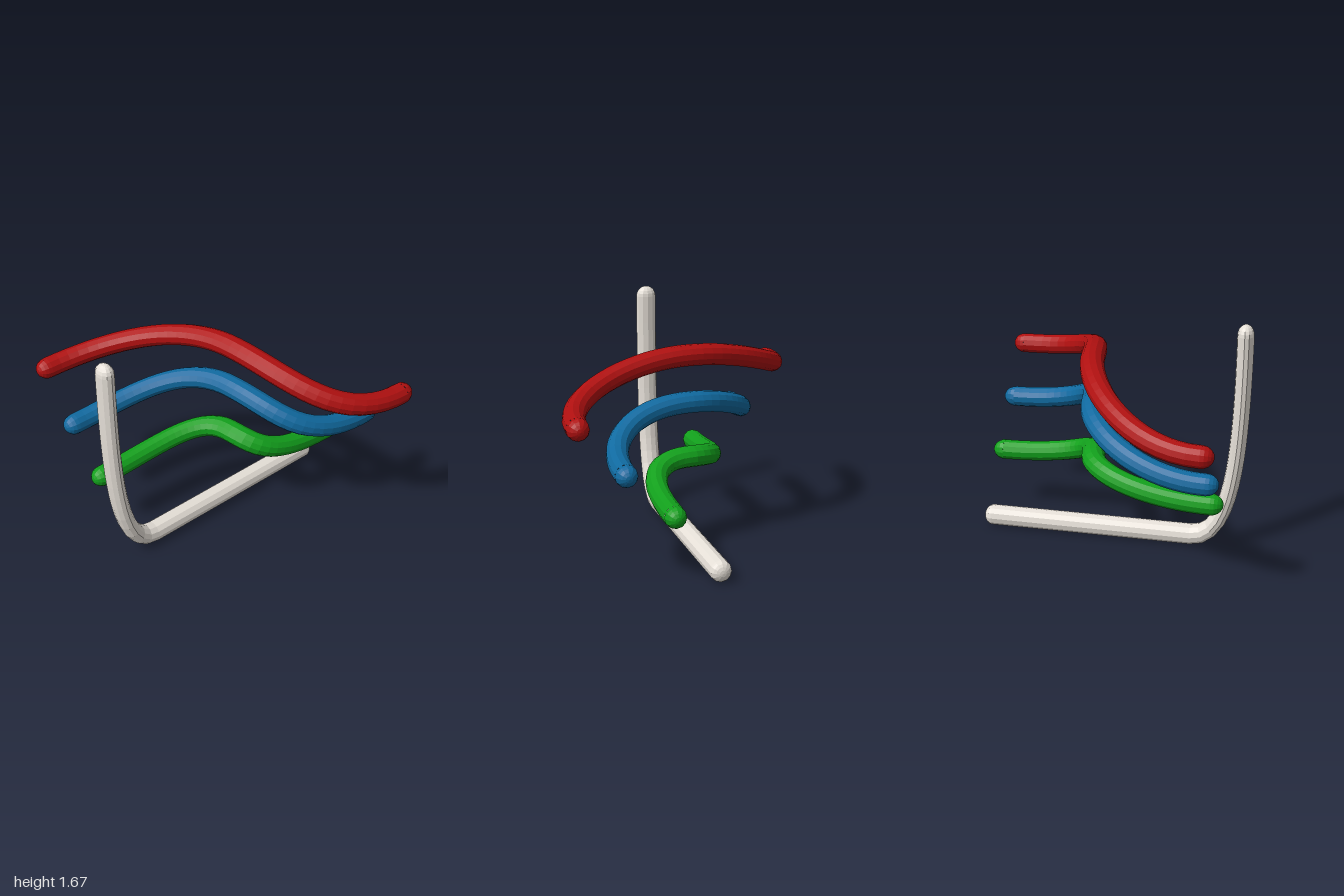
import * as THREE from 'three';

const RADIUS = 0.075, SIDES = 12;
const V = (x, y, z) => new THREE.Vector3(x, y, z);

// Faceted tube along Bezier pieces with domed ends; xScale squashes its section along x
function roundedTube(name, pieces, color, xScale) {
  const group = new THREE.Group();
  group.name = name;
  const material = new THREE.MeshStandardMaterial({ color, flatShading: true });
  const path = new THREE.CurvePath();
  for (const pts of pieces) {
    const p = pts.map((q) => V(q.x / xScale, q.y, q.z));
    path.add(p.length === 2 ? new THREE.LineCurve3(...p) : new THREE.CubicBezierCurve3(...p));
  }
  const tube = new THREE.Mesh(new THREE.TubeGeometry(path, 36, RADIUS, SIDES), material);
  tube.name = name + 'Tube';
  group.add(tube);
  for (const t of [0, 1]) {
    const dome = new THREE.Mesh(
      new THREE.SphereGeometry(RADIUS, SIDES, 5, 0, Math.PI * 2, 0, Math.PI / 2), material);
    dome.name = name + (t ? 'EndDome' : 'StartDome');
    dome.position.copy(path.getPoint(t));
    const out = path.getTangent(t).multiplyScalar(t ? 1 : -1);
    dome.quaternion.setFromUnitVectors(V(0, 1, 0), out);
    group.add(dome);
  }
  group.scale.x = xScale;
  return group;
}

// S-shaped wave: level at both ends, cresting where it crosses the middle
function wave(name, color, { back, front, yBack, yFront, crest, reach }) {
  const mid = V(0.135, crest, -0.01);
  const lean = 0.14 * reach;
  const start = V(-0.758, yBack, back), end = V(0.883, yFront, front);
  return roundedTube(name, [
    [start, V(-0.29, yBack, back), V(mid.x - lean, crest, mid.z - reach), mid],
    [mid, V(mid.x + lean, crest, mid.z + reach), V(0.27, yFront, front), end],
  ], color, 1.14);
}

export function createModel() {
  const model = new THREE.Group();

  // L-shaped axis: upright, bend and base bar
  const z = -0.01;
  model.add(roundedTube('axisFrame', [
    [V(-0.913, 1.605, z), V(-0.913, 0.75, z), V(-0.88, 0.08, z), V(-0.58, 0.08, z)],
    [V(-0.58, 0.08, z), V(0.9, 0.08, z)],
  ], 0xe6e0d8, 0.77));

  // Three stacked waves
  model.add(wave('topWave', 0xb01010,
    { back: -0.926, front: 0.918, yBack: 1.107, yFront: 1.11, crest: 1.362, reach: 0.5 }));
  model.add(wave('middleWave', 0x106aa0,
    { back: -0.635, front: 0.614, yBack: 0.78, yFront: 0.783, crest: 1.03, reach: 0.45 }));
  model.add(wave('bottomWave', 0x12a01c,
    { back: -0.336, front: 0.294, yBack: 0.492, yFront: 0.478, crest: 0.637, reach: 0.29 }));

  return model;
}
